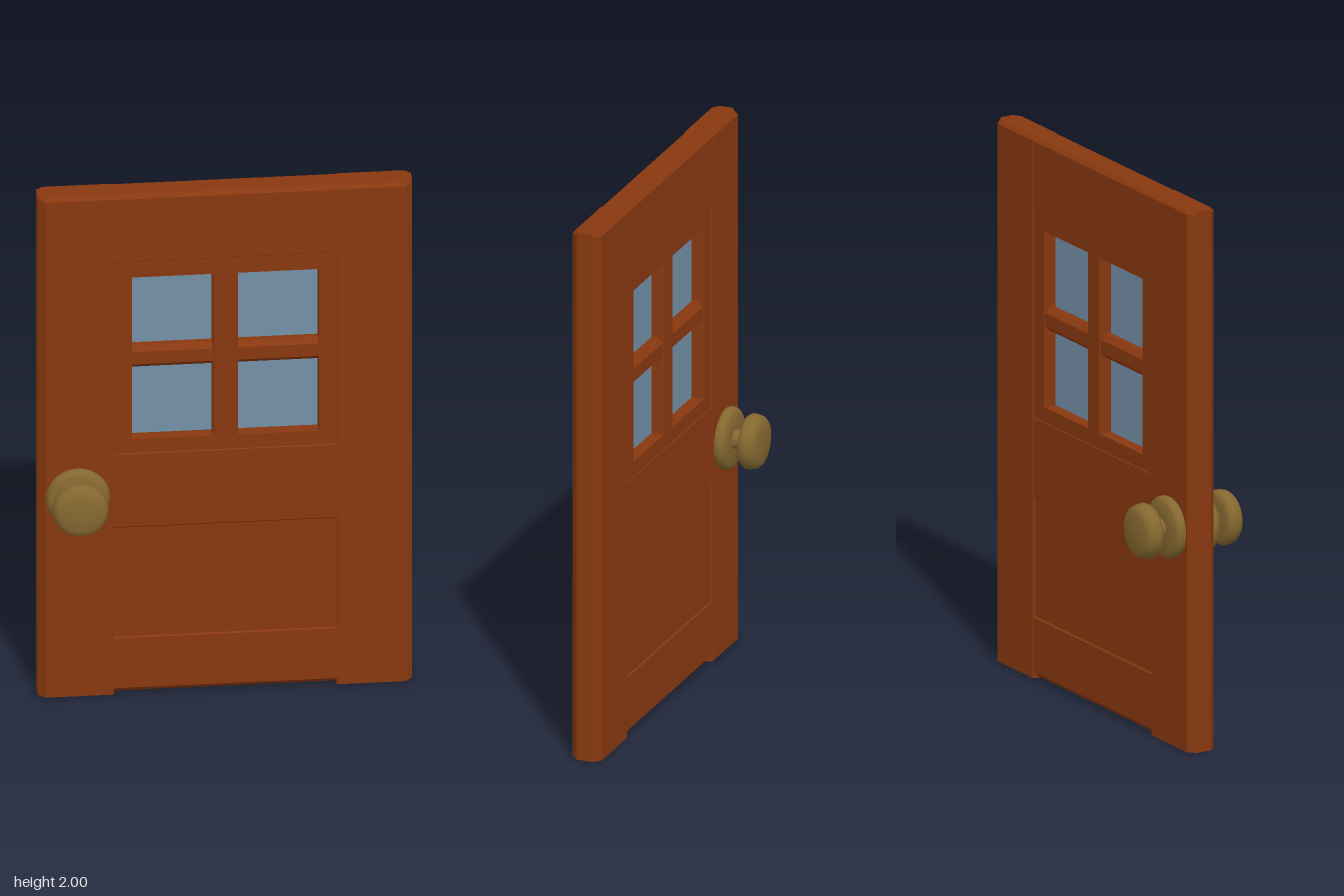
import * as THREE from 'three';
import { toCreasedNormals } from 'three/addons/utils/BufferGeometryUtils.js';

const wood = new THREE.MeshStandardMaterial({ color: 0x88380f });
wood.name = 'wood';
const glass = new THREE.MeshStandardMaterial({ color: 0x7490a8 });
glass.name = 'glass';
const brass = new THREE.MeshStandardMaterial({ color: 0x866830 });
brass.name = 'brass';

function shapeOf(points) {
  return new THREE.Shape(points.map(([x, y]) => new THREE.Vector2(x, y)));
}

// Bar cross-section from a to b, half depth d; c0 and c1 are the edge chamfers
function barProfile(a, b, d, c0, c1) {
  return shapeOf([
    [a + c0, -d], [b - c1, -d], [b, -d + c1], [b, d - c1],
    [b - c1, d], [a + c0, d], [a, d - c0], [a, -d + c0],
  ]);
}

// Upright bar between two heights
function upright(x0, x1, y0, y1, d, c0, c1, topTaper = 0) {
  const g = new THREE.ExtrudeGeometry(barProfile(x0, x1, d, c0, c1),
    { depth: y1 - y0, steps: 2, bevelEnabled: false });
  g.rotateX(-Math.PI / 2).translate(0, y0, 0);
  if (topTaper) {
    // The middle ring rises to the shoulder and the top ring narrows
    const p = g.attributes.position;
    const mid = (y0 + y1) / 2;
    for (let i = 0; i < p.count; i++) {
      const y = p.getY(i);
      if (Math.abs(y - mid) < 1e-3) p.setY(i, y1 - topTaper);
      else if (y > mid) p.setZ(i, p.getZ(i) * (d - topTaper) / d);
    }
    g.computeVertexNormals();
  }
  return g;
}

// Horizontal bar spanning -halfWidth to halfWidth
function crossbar(halfWidth, y0, y1, d, c0, c1) {
  const g = new THREE.ExtrudeGeometry(barProfile(y0, y1, d, c0, c1),
    { depth: halfWidth * 2, bevelEnabled: false });
  // Profile (x, y) becomes (y, z); the extrusion runs along x
  g.applyMatrix4(new THREE.Matrix4().set(
    0, 0, 1, -halfWidth,
    1, 0, 0, 0,
    0, 1, 0, 0,
    0, 0, 0, 1));
  return g;
}

export function createModel() {
  const door = new THREE.Group();
  door.name = 'door';
  const add = (name, geometry, material) => {
    const mesh = new THREE.Mesh(geometry, material);
    mesh.name = name;
    door.add(mesh);
    return mesh;
  };

  // Side stiles with a wide chamfer on the outer edge
  add('rightStile', upright(-0.665, -0.395, 0, 2, 0.055, 0.025, 0.006, 0.012), wood);
  add('leftStile', upright(0.395, 0.665, 0, 2, 0.055, 0.006, 0.025, 0.012), wood);

  // Rails
  add('topRail', crossbar(0.41, 1.73, 2, 0.053, 0.006, 0.014), wood);
  add('middleRail', crossbar(0.41, 0.665, 0.97, 0.053, 0.006, 0.008), wood);
  add('bottomRail', crossbar(0.41, 0.004, 0.23, 0.053, 0.02, 0.006), wood);

  // Lower panel, slightly sunk
  const panel = add('lowerPanel', new THREE.BoxGeometry(0.8, 0.46, 0.096), wood);
  panel.position.set(0, 0.4475, 0);

  // Window frame
  const frame = shapeOf([[-0.4, 0.965], [0.4, 0.965], [0.4, 1.735], [-0.4, 1.735]]);
  frame.holes.push(new THREE.Path([
    [-0.332, 1.02], [-0.332, 1.67], [0.332, 1.67], [0.332, 1.02],
  ].map(([x, y]) => new THREE.Vector2(x, y))));
  const frameGeometry = new THREE.ExtrudeGeometry(frame, { depth: 0.102, bevelEnabled: false });
  frameGeometry.translate(0, 0, -0.051);
  add('windowFrame', frameGeometry, wood);

  // Glazing bars and pane
  add('verticalBar', upright(-0.045, 0.045, 1.015, 1.675, 0.05, 0.008, 0.008), wood);
  add('horizontalBar', crossbar(0.337, 1.3, 1.385, 0.046, 0.018, 0.018), wood);
  const pane = add('windowPane', new THREE.BoxGeometry(0.67, 0.656, 0.008), glass);
  pane.position.set(0, 1.345, 0);

  // Knob, stem and rosette in one turned profile, on both faces
  const profile = [
    [0.108, 0.05], [0.113, 0.062], [0.113, 0.074], [0.106, 0.086], [0.098, 0.092],
    [0.035, 0.092], [0.035, 0.132],
    [0.078, 0.132], [0.092, 0.137], [0.1, 0.15], [0.099, 0.166], [0.094, 0.184],
    [0.084, 0.195], [0.068, 0.2], [0.035, 0.204], [0, 0.206],
  ].map(([r, z]) => new THREE.Vector2(r, z));
  const knobGeometry = toCreasedNormals(new THREE.LatheGeometry(profile, 40), 0.8);
  knobGeometry.rotateX(Math.PI / 2);
  for (const [name, turn] of [['frontKnob', 0], ['backKnob', Math.PI]]) {
    const knob = add(name, knobGeometry, brass);
    knob.position.set(-0.525, 0.805, 0);
    knob.rotation.y = turn;
  }

  return door;
}
